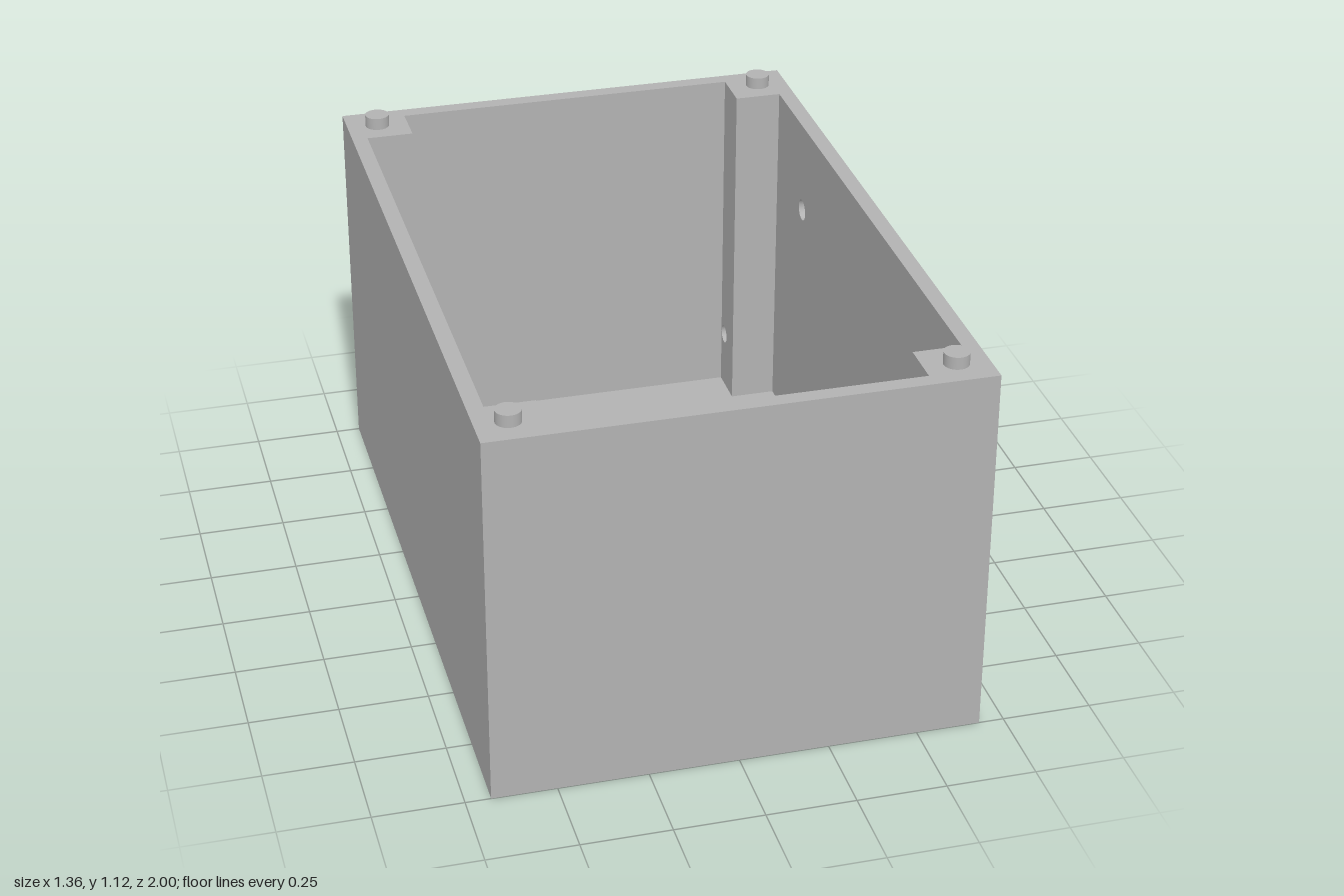
import * as THREE from 'three';

const W = 0.68, D = 1, H = 1.085, T = 0.045; // half width, half depth, height, wall thickness
const IX = W - T, IZ = D - T;                // inner half sizes
const POST_X = 0.5, POST_Z = 0.825;          // inner faces of the corner posts

const rect = (Curve, x0, y0, x1, y1) => {
  const s = new Curve();
  s.moveTo(x0, y0);
  s.lineTo(x1, y0);
  s.lineTo(x1, y1);
  s.lineTo(x0, y1);
  s.closePath();
  return s;
};

const roundHole = (x, y, r) => {
  const p = new THREE.Path();
  p.absarc(x, y, r, 0, Math.PI * 2, true);
  return p;
};

const extrude = (shape, depth) =>
  new THREE.ExtrudeGeometry(shape, { depth, bevelEnabled: false, curveSegments: 48 });

export function createModel() {
  const model = new THREE.Group();
  model.name = 'enclosure';
  const grey = new THREE.MeshStandardMaterial({ color: 0xb2b2b2 });
  grey.name = 'grey';

  const add = (name, geometry, x = 0, y = 0, z = 0) => {
    const mesh = new THREE.Mesh(geometry, grey);
    mesh.name = name;
    mesh.position.set(x, y, z);
    model.add(mesh);
  };

  // Floor with a large round opening
  const floor = rect(THREE.Shape, -IX, -IZ, IX, IZ);
  floor.holes.push(roundHole(0, 0, 0.273));
  add('floor', extrude(floor, T).rotateX(-Math.PI / 2));

  // Plain walls
  add('frontWall', new THREE.BoxGeometry(IX * 2, H, T), 0, H / 2, D - T / 2);
  add('backWall', new THREE.BoxGeometry(IX * 2, H, T), 0, H / 2, -D + T / 2);
  add('plainSideWall', new THREE.BoxGeometry(T, H, D * 2), -W + T / 2, H / 2, 0);

  // Side wall with a socket window and four screw holes
  const side = rect(THREE.Shape, -D, 0, D, H);
  side.holes.push(rect(THREE.Path, -0.147, 0.095, 0.147, 0.278));
  for (const s of [-1, 1]) {
    side.holes.push(roundHole(s * 0.567, 0.815, 0.032));
    side.holes.push(roundHole(s * 0.925, 0.22, 0.032));
  }
  add('drilledSideWall', extrude(side, T).rotateY(Math.PI / 2), IX);

  // Corner posts (drilled through on the +x side) and their locating pegs
  const peg = new THREE.CylinderGeometry(0.035, 0.035, 0.035, 40);
  for (const sz of [-1, 1]) {
    const zMid = sz * (POST_Z + IZ) / 2;
    const depth = IX - POST_X;
    add('plainPost', new THREE.BoxGeometry(depth, H - T, IZ - POST_Z),
      -(POST_X + IX) / 2, (H + T) / 2, zMid);

    const inner = Math.min(-sz * POST_Z, -sz * IZ);
    const post = rect(THREE.Shape, inner, T, inner + IZ - POST_Z, H);
    post.holes.push(roundHole(-sz * 0.925, 0.22, 0.028));
    add('drilledPost', extrude(post, depth).rotateY(Math.PI / 2), POST_X);

    for (const sx of [-1, 1]) add('peg', peg, sx * 0.59, H + 0.0175, sz * 0.91);
  }
  return model;
}
